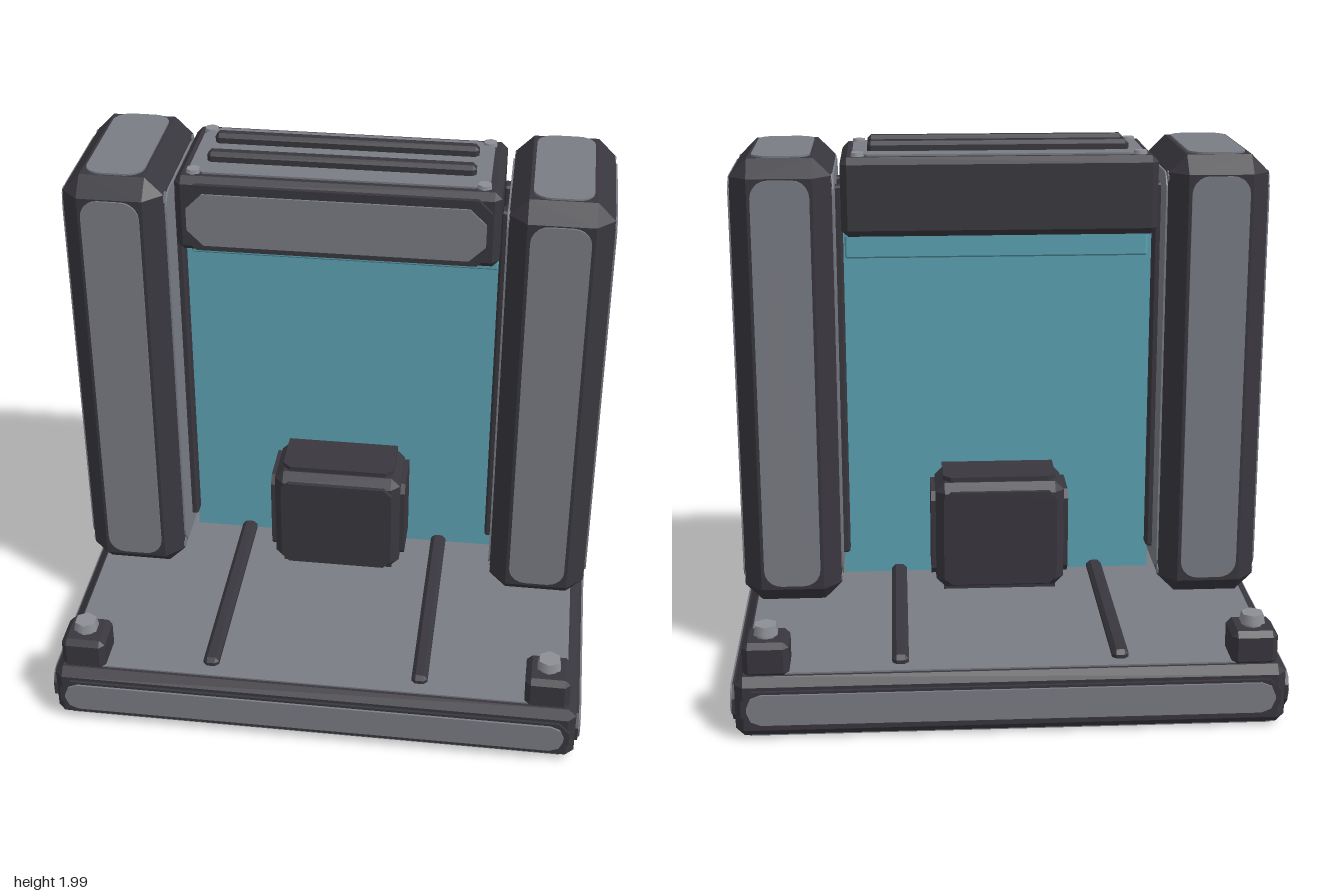
import * as THREE from 'three';
import { ConvexGeometry } from 'three/addons/geometries/ConvexGeometry.js';

const paint = (name, color) => {
  const m = new THREE.MeshStandardMaterial({ color });
  m.name = name;
  return m;
};

export function createModel() {
  const dark = paint('dark frame', 0x39373e);
  const grey = paint('grey panel', 0x7a7d85);
  const teal = paint('teal screen', 0x5ca3b3);
  const steel = paint('light bolt', 0x8c8f95);

  const model = new THREE.Group();
  model.name = 'gateway';

  const add = (parent, name, geometry, material, x = 0, y = 0, z = 0) => {
    const mesh = new THREE.Mesh(geometry, material);
    mesh.name = name;
    mesh.position.set(x, y, z);
    parent.add(mesh);
    return mesh;
  };
  const group = (name, x = 0, y = 0, z = 0) => {
    const g = new THREE.Group();
    g.name = name;
    g.position.set(x, y, z);
    model.add(g);
    return g;
  };

  // Box with every edge and corner cut at 45 degrees
  const bevelBox = (w, h, d, c) => {
    const pts = [];
    for (const sx of [-1, 1]) for (const sy of [-1, 1]) for (const sz of [-1, 1]) {
      const X = w / 2, Y = h / 2, Z = d / 2;
      pts.push(new THREE.Vector3(sx * X, sy * (Y - c), sz * (Z - c)));
      pts.push(new THREE.Vector3(sx * (X - c), sy * Y, sz * (Z - c)));
      pts.push(new THREE.Vector3(sx * (X - c), sy * (Y - c), sz * Z));
    }
    return new ConvexGeometry(pts);
  };

  // Thin plate facing +z, corners cut in one or more steps
  const plateGeo = (w, h, r, steps, t) => {
    const s = new THREE.Shape();
    const pts = [];
    [[1, 1], [-1, 1], [-1, -1], [1, -1]].forEach(([sx, sy], q) => {
      for (let i = 0; i <= steps; i++) {
        const a = (q + i / steps) * Math.PI / 2;
        pts.push(new THREE.Vector2(sx * (w / 2 - r) + r * Math.cos(a), sy * (h / 2 - r) + r * Math.sin(a)));
      }
    });
    s.setFromPoints(pts);
    return new THREE.ExtrudeGeometry(s, { depth: t, bevelEnabled: false });
  };
  const turns = {
    front: [0, 0], back: [0, Math.PI], left: [0, Math.PI / 2],
    right: [0, -Math.PI / 2], top: [-Math.PI / 2, 0], bottom: [Math.PI / 2, 0],
  };
  const plate = (parent, name, face, [w, h, r, steps, t], material, x, y, z) => {
    const mesh = add(parent, name, plateGeo(w, h, r, steps, t), material, x, y, z);
    mesh.rotation.set(turns[face][0], turns[face][1], 0);
    return mesh;
  };
  const sides = [['front', 0, 1], ['back', 0, -1], ['left', 1, 0], ['right', -1, 0]];

  // Base slab with panelled edges, floor and underside
  const base = group('base');
  add(base, 'baseSlab', bevelBox(1.964, 0.225, 1.964, 0.03), dark, 0, 0.1175, 0);
  for (const [face, sx, sz] of sides) {
    plate(base, 'baseEdgeFrame', face, [1.92, 0.135, 0.04, 1, 0.01], dark, sx * 0.982, 0.12, sz * 0.982);
    plate(base, 'baseEdgePanel', face, [1.88, 0.115, 0.05, 2, 0.008], grey, sx * 0.992, 0.12, sz * 0.992);
  }
  plate(base, 'floorPanel', 'top', [1.89, 1.88, 0.02, 1, 0.006], grey, 0, 0.23, 0);
  plate(base, 'undersidePanel', 'bottom', [1.9, 1.9, 0.02, 1, 0.006], grey, 0, 0.006, 0);
  for (const x of [-0.395, 0.395])
    add(base, 'floorRib', bevelBox(0.06, 0.05, 1.78, 0.015), dark, x, 0.24, 0);

  // Corner posts with hex bolts
  for (const x of [-0.87, 0.87]) for (const z of [-0.87, 0.87]) {
    const post = group('cornerPost', x, 0, z);
    add(post, 'postBlock', bevelBox(0.165, 0.13, 0.165, 0.02), dark, 0, 0.285, 0);
    add(post, 'boltShank', new THREE.CylinderGeometry(0.037, 0.037, 0.03, 8), steel, 0, 0.36, 0);
    add(post, 'boltHead', new THREE.CylinderGeometry(0.042, 0.049, 0.035, 6), steel, 0, 0.378, 0);
  }

  // Pillars with panels on each side and on top
  for (const s of [-1, 1]) {
    const pillar = group(s > 0 ? 'leftPillar' : 'rightPillar', s * 0.805, 1.095, 0);
    add(pillar, 'pillarBody', bevelBox(0.372, 1.722, 0.672, 0.066), dark);
    for (const [face, sx, sz] of sides) {
      const w = sx ? 0.53 : 0.215;
      plate(pillar, 'pillarPanel', face, [w, 1.57, 0.065, 5, 0.007], grey, sx * 0.186, 0.005, sz * 0.336);
    }
    plate(pillar, 'pillarTopPanel', 'top', [0.215, 0.53, 0.065, 5, 0.007], grey, 0, 0.861, 0);
    // small corner chips beside the wide panels
    for (const face of ['left', 'right']) for (const sy of [-1, 1]) for (const sz of [-1, 1]) {
      const chip = plate(pillar, 'cornerChip', face, [0.045, 0.045, 0.012, 1, 0.004], grey,
        face === 'left' ? 0.184 : -0.184, sy * 0.775, sz * 0.25);
      chip.rotateZ(Math.PI / 4);
    }
    // guide rails either side of the screen
    for (const z of [-0.11, 0.1])
      add(pillar, 'guideRail', bevelBox(0.04, 1.46, 0.06, 0.008), dark, -s * 0.198, 0.005, z);
  }

  // Screen with a slightly raised top band
  const screen = group('screen');
  add(screen, 'screenSheet', new THREE.BoxGeometry(1.226, 1.39, 0.02), teal, 0, 0.93, 0);
  add(screen, 'screenBand', bevelBox(1.174, 0.1, 0.034, 0.01), teal, 0, 1.575, 0);

  // Lintel joining the pillars
  const lintel = group('lintel', 0, 1.8, 0);
  add(lintel, 'lintelBody', bevelBox(1.18, 0.295, 0.48, 0.025), dark);
  plate(lintel, 'lintelFrontFrame', 'front', [1.12, 0.26, 0.05, 1, 0.018], dark, 0, 0, 0.24);
  plate(lintel, 'lintelFrontPanel', 'front', [1.085, 0.205, 0.06, 1, 0.007], grey, 0, -0.005, 0.258);
  plate(lintel, 'lintelTopPanel', 'top', [1.09, 0.39, 0.055, 1, 0.007], grey, 0, 0.1475, 0);
  for (const x of [-0.525, 0.525]) for (const z of [-0.18, 0.18])
    add(lintel, 'lintelBolt', new THREE.CylinderGeometry(0.026, 0.03, 0.02, 6), steel, x, 0.152, z);
  for (const z of [-0.083, 0.08])
    add(lintel, 'lintelRib', bevelBox(0.98, 0.05, 0.055, 0.014), dark, 0, 0.165, z);

  // Console block passing through the foot of the screen
  const box = group('console', 0, 0.465, 0);
  add(box, 'consoleBody', bevelBox(0.5, 0.43, 0.5, 0.035), dark);
  for (const [face, sx, sz] of sides)
    plate(box, 'consolePlate', face, [sx ? 0.42 : 0.44, sx ? 0.34 : 0.38, 0.03, 1, 0.018], dark,
      sx * 0.25, 0, sz * 0.25);
  plate(box, 'consoleTopPlate', 'top', [0.44, 0.42, 0.03, 1, 0.018], dark, 0, 0.215, 0);
  add(box, 'consoleFoot', new THREE.BoxGeometry(0.44, 0.04, 0.42), dark, 0, -0.215, 0);

  return model;
}
